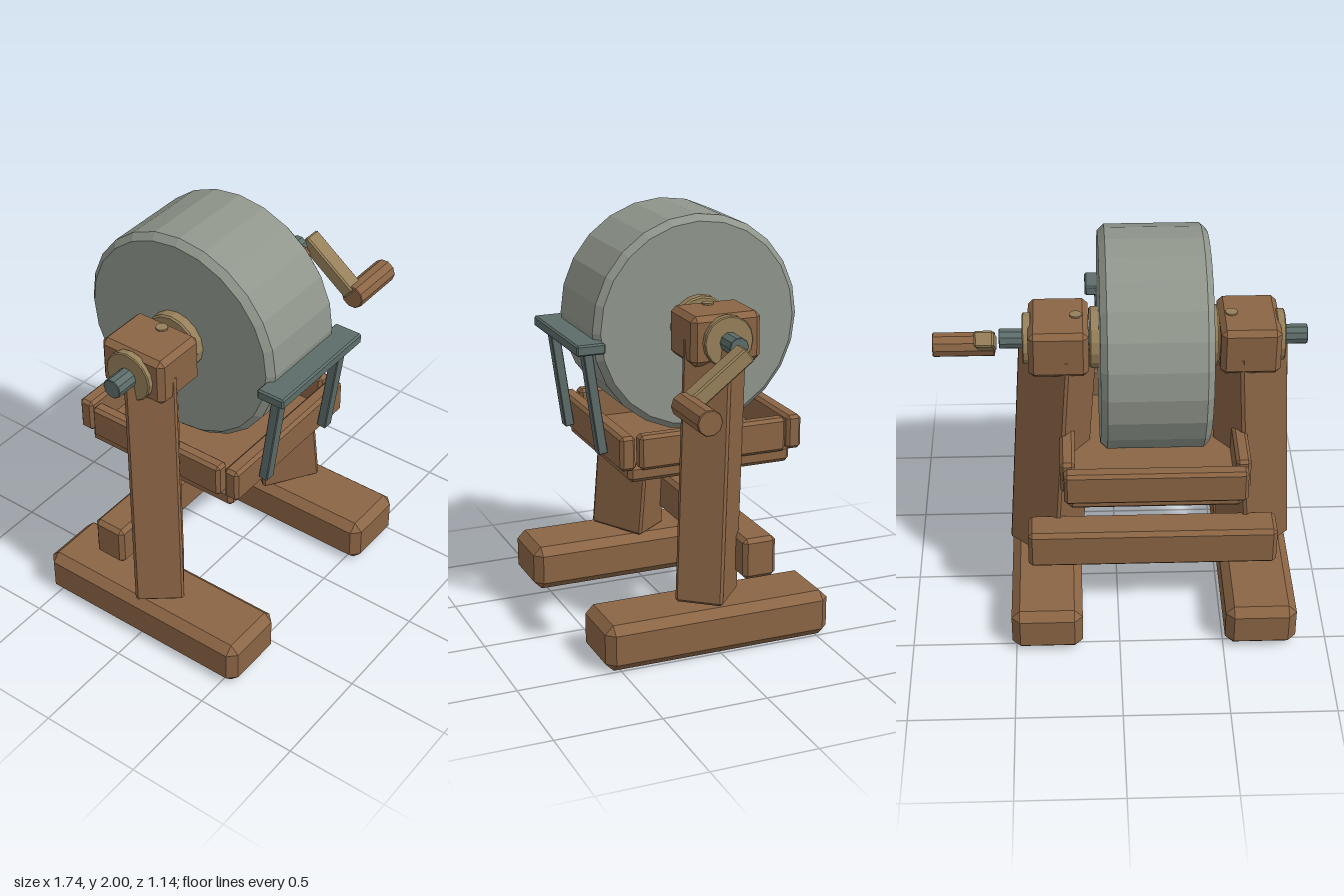
import * as THREE from 'three';
import { ConvexGeometry } from 'three/addons/geometries/ConvexGeometry.js';

const MID = -0.166; // plane of symmetry of the frame
const AXLE_Y = 1.485, AXLE_Z = -0.06;

// Box with every edge chamfered by c, centred on the origin
function chamferBox(w, h, d, c) {
  const pts = [];
  for (const sx of [-1, 1]) for (const sy of [-1, 1]) for (const sz of [-1, 1]) {
    const x = w / 2, y = h / 2, z = d / 2;
    pts.push(new THREE.Vector3(sx * x, sy * (y - c), sz * (z - c)));
    pts.push(new THREE.Vector3(sx * (x - c), sy * y, sz * (z - c)));
    pts.push(new THREE.Vector3(sx * (x - c), sy * (y - c), sz * z));
  }
  return new ConvexGeometry(pts);
}

// Faceted disc or rod lying along x, with chamfered rims
function rod(length, radius, sides, c) {
  const h = length / 2;
  const profile = [[0, -h], [radius - c, -h], [radius, -h + c], [radius, h - c], [radius - c, h], [0, h]]
    .map(([x, y]) => new THREE.Vector2(x, y));
  const geo = new THREE.LatheGeometry(profile, sides).toNonIndexed();
  geo.computeVertexNormals();
  return geo.rotateZ(-Math.PI / 2);
}

export function createModel() {
  const group = new THREE.Group();
  const mat = (name, color) => {
    const m = new THREE.MeshStandardMaterial({ color });
    m.name = name;
    return m;
  };
  const wood = mat('wood', 0x8b6545);
  const stone = mat('stone', 0x90968c);
  const iron = mat('iron', 0x5d6d6a);
  const brass = mat('brass', 0x96805a);

  const add = (name, geo, material, x, y, z) => {
    const mesh = new THREE.Mesh(geo, material);
    mesh.name = name;
    mesh.position.set(x, y, z);
    group.add(mesh);
    return mesh;
  };
  // Chamfered box given by its limits on each axis
  const slab = (name, material, [x0, x1], [y0, y1], [z0, z1], c = 0.015) =>
    add(name, chamferBox(x1 - x0, y1 - y0, z1 - z0, c), material,
      (x0 + x1) / 2, (y0 + y1) / 2, (z0 + z1) / 2);

  // Grinding wheel, hub and axle
  add('grindingWheel', rod(0.496, 0.515, 24, 0.03), stone, MID + 0.003, AXLE_Y, AXLE_Z);
  add('hub', rod(0.59, 0.143, 16, 0.008), brass, MID, AXLE_Y, AXLE_Z);
  add('axle', rod(1.41, 0.047, 10, 0.003), iron, MID, AXLE_Y, AXLE_Z);

  for (const s of [-1, 1]) {
    const side = s < 0 ? 'right' : 'left';
    const at = (offset) => MID + s * offset;

    // Foot, bearing block, washer and peg
    add(side + 'Foot', chamferBox(0.342, 0.225, 1.13, 0.04), wood, at(0.515), 0.1125, 0.005);
    add(side + 'BearingBlock', chamferBox(0.274, 0.232, 0.342, 0.025), wood, at(0.435), 1.489, -0.062);
    add(side + 'Washer', rod(0.04, 0.12, 16, 0.005), brass, at(0.578), AXLE_Y, AXLE_Z);
    const peg = new THREE.CylinderGeometry(0.028, 0.028, 0.06, 10).toNonIndexed();
    peg.computeVertexNormals();
    add(side + 'Peg', peg, brass, at(0.354), 1.583, AXLE_Z);

    // Leg: turned cornerwise, leaning inward and backward
    const leg = add(side + 'Leg', chamferBox(0.228, 1.25, 0.295, 0.012), wood, at(0.476), 0.86, -0.026);
    const lean = new THREE.Vector3(-s * 0.075, 1.2, -0.07).normalize();
    leg.quaternion.setFromUnitVectors(new THREE.Vector3(0, 1, 0), lean)
      .multiply(new THREE.Quaternion().setFromAxisAngle(new THREE.Vector3(0, 1, 0), s * 0.904));

    // Trough side board
    add(side + 'TroughSide', chamferBox(0.07, 0.165, 0.74, 0.015), wood, at(0.404), 0.953, -0.062);

    // Tool rest post
    const post = add(side + 'RestPost', chamferBox(0.055, 0.51, 0.046, 0.004), iron, at(0.232), 1.165, 0.457);
    post.rotation.x = 0.137;
  }

  // Trough ends and floor
  slab('troughFront', wood, [-0.587, 0.255], [0.87, 1.035], [0.322, 0.398]);
  slab('troughBack', wood, [-0.587, 0.255], [0.87, 1.035], [-0.522, -0.447]);
  slab('troughFloor', wood, [-0.57, 0.238], [0.803, 0.888], [-0.472, 0.352], 0.02);

  // Stretcher behind the legs
  slab('stretcher', wood, [-0.767, 0.435], [0.315, 0.517], [-0.312, -0.145], 0.02);

  // Tool rest plate
  slab('restPlate', iron, [-0.473, 0.141], [1.405, 1.457], [0.42, 0.56], 0.008);

  // Crank arm and handle
  const arm = add('crankArm', chamferBox(0.09, 0.076, 0.34, 0.008), brass, 0.61, 1.383, 0.075);
  arm.rotation.x = Math.atan2(0.215, 0.285);
  add('crankHandle', rod(0.295, 0.06, 10, 0.004), wood, 0.722, 1.268, 0.225);

  return group;
}
